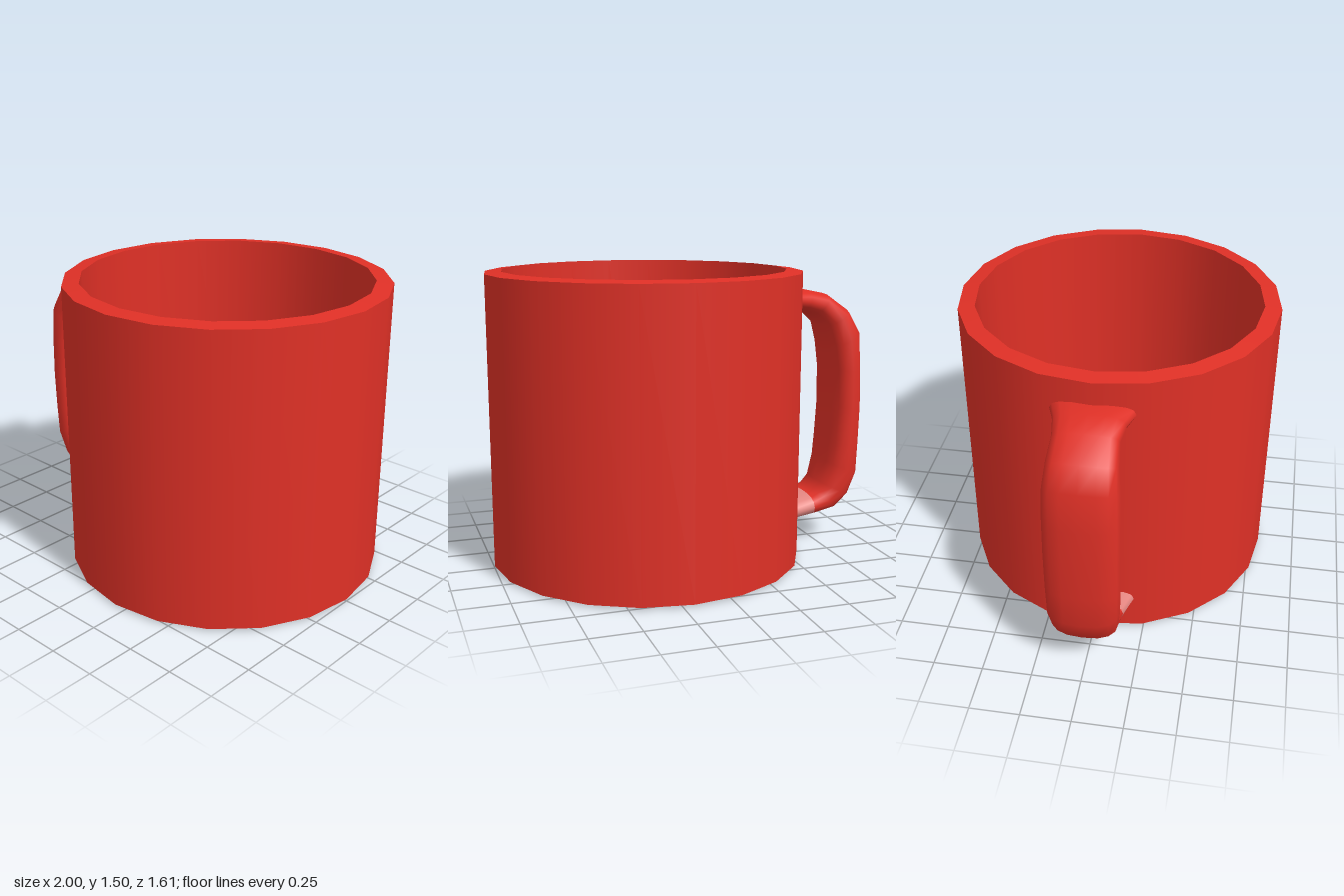
import * as THREE from 'three';

const red = new THREE.MeshStandardMaterial({ color: 0xdf3026 });
red.name = 'red glaze';
const pink = new THREE.MeshStandardMaterial({ color: 0xea8a85 });
pink.name = 'pale pink';

const CUP_X = 0.194, R = 0.806, R_IN = 0.722, SIDES = 20;

// Cup: each profile span is its own lathe so that its edges stay sharp
function createCup() {
  const cup = new THREE.Group();
  cup.name = 'cup';
  const spans = [
    ['underside', 0, 0.03, R_IN, 0.03],
    ['footWall', R_IN, 0.03, R_IN, 0],
    ['footRim', R_IN, 0, R, 0.01],
    ['outerWall', R, 0.01, R, 1.495],
    ['topRim', R, 1.495, R_IN, 1.505],
    ['innerWall', R_IN, 1.505, R_IN, 0.05],
    ['floor', R_IN, 0.05, 0, 0.05],
  ];
  for (const [name, r0, y0, r1, y1] of spans) {
    const profile = [new THREE.Vector2(r0, y0), new THREE.Vector2(r1, y1)];
    const mesh = new THREE.Mesh(new THREE.LatheGeometry(profile, SIDES), red);
    mesh.name = name;
    cup.add(mesh);
  }
  cup.position.x = CUP_X;
  return cup;
}

// Handle: rounded sections lofted from the upper joint to the lower one
function createHandle() {
  // outer x, y, inner x, y, half width
  const sections = [
    [-0.585, 1.38, -0.585, 1.28, 0.2],
    [-0.68, 1.38, -0.65, 1.265, 0.17],
    [-0.8, 1.355, -0.715, 1.245, 0.155],
    [-0.92, 1.27, -0.78, 1.185, 0.165],
    [-0.985, 1.16, -0.81, 1.07, 0.178],
    [-0.995, 0.95, -0.83, 0.95, 0.182],
    [-1.0, 0.75, -0.835, 0.75, 0.182],
    [-0.995, 0.55, -0.822, 0.55, 0.182],
    [-0.99, 0.37, -0.81, 0.44, 0.178],
    [-0.945, 0.25, -0.78, 0.325, 0.165],
    [-0.87, 0.175, -0.74, 0.285, 0.155],
    [-0.72, 0.148, -0.71, 0.265, 0.165],
    [-0.585, 0.14, -0.585, 0.245, 0.2],
  ];
  const N = 16, positions = [], index = [];
  const soften = (v) => Math.sign(v) * Math.abs(v) ** 0.8;
  sections.forEach(([ox, oy, ix, iy, w], i) => {
    for (let j = 0; j < N; j++) {
      const a = (j / N) * Math.PI * 2;
      const c = soften(Math.cos(a)) / 2, s = soften(Math.sin(a));
      positions.push((ox + ix) / 2 + (ox - ix) * c, (oy + iy) / 2 + (oy - iy) * c, w * s);
      if (i === sections.length - 1) continue;
      const p = i * N + j, q = i * N + ((j + 1) % N);
      index.push(p, p + N, q, q, p + N, q + N);
    }
  });
  const geometry = new THREE.BufferGeometry();
  geometry.setAttribute('position', new THREE.Float32BufferAttribute(positions, 3));
  geometry.setIndex(index);
  geometry.computeVertexNormals();
  // the last stretch by the lower joint is pale
  const perStep = N * 6;
  geometry.addGroup(0, index.length - perStep, 0);
  geometry.addGroup(index.length - perStep, perStep, 1);
  const handle = new THREE.Mesh(geometry, [red, pink]);
  handle.name = 'handle';
  return handle;
}

export function createModel() {
  const mug = new THREE.Group();
  mug.name = 'mug';
  mug.add(createCup(), createHandle());
  return mug;
}
